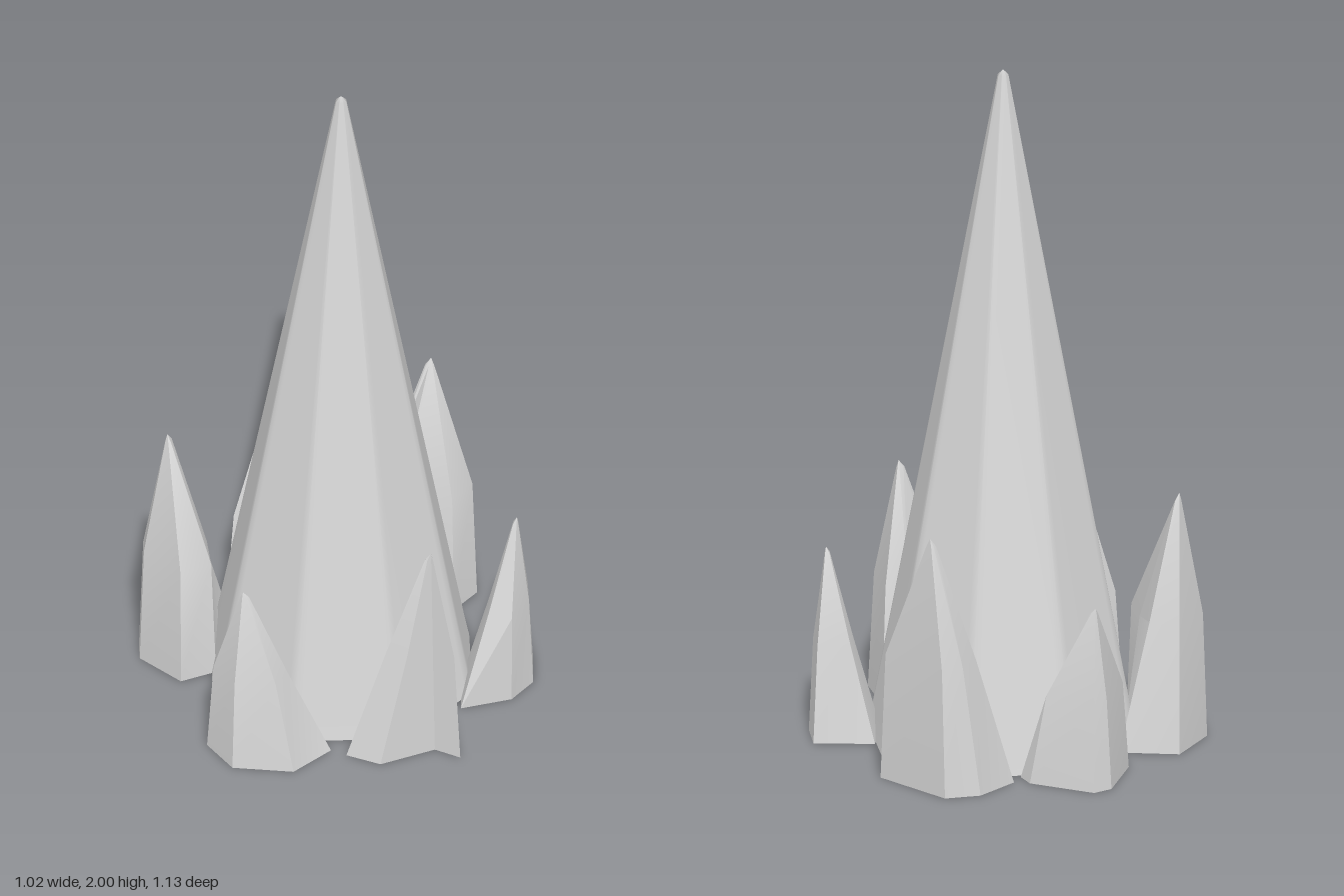
import * as THREE from 'three';
import { mergeVertices, toCreasedNormals } from 'three/addons/utils/BufferGeometryUtils.js';

// Open-bottomed shell from stacked rings of [x, y, z] points, closed at the tip
function loft(rings, tip) {
  const n = rings[0].length, pos = [];
  const tri = (a, b, c) => pos.push(...a, ...b, ...c);
  rings.forEach((lo, r) => {
    const hi = rings[r + 1];
    for (let i = 0; i < n; i++) {
      const j = (i + 1) % n;
      if (hi) {
        tri(lo[i], hi[i], lo[j]);
        tri(lo[j], hi[i], hi[j]);
      } else tri(lo[i], tip, lo[j]);
    }
  });
  const geo = new THREE.BufferGeometry();
  geo.setAttribute('position', new THREE.Float32BufferAttribute(pos, 3));
  return geo;
}

// Crystal shard from corners [x, z, lean]; lean is how far a corner has moved to the tip at half height
function shard(corners, tip) {
  const [tx, ty, tz] = tip;
  const outline = corners.map(([x, z]) => new THREE.Vector2(x, z));
  const ordered = THREE.ShapeUtils.area(outline) > 0 ? corners : corners.slice().reverse();
  const section = (height, leanAt) => ordered.map(([x, z, lean]) => {
    const t = leanAt(lean);
    return [x + (tx - x) * t, ty * height, z + (tz - z) * t];
  });
  const geo = loft([section(0, () => 0), section(0.5, lean => lean), section(0.97, () => 0.93)], tip);
  return toCreasedNormals(geo, 0.5);
}

// Tall eight-sided spire with softly rounded edges and a blunted tip
function spire() {
  const cz = 0.012;
  const ring = (r, y) => {
    const points = [];
    for (let i = 0; i < 8; i++) {
      const a = i * Math.PI / 4;
      for (const [da, k] of [[-0.06, 0.977], [0, 0.992], [0.06, 0.977]]) {
        points.push([r * k * Math.cos(a + da), y, cz + r * k * Math.sin(a + da)]);
      }
    }
    return points;
  };
  const geo = mergeVertices(loft([ring(0.4, 0), ring(0.387, 0.06), ring(0.016, 1.985)], [0, 2, cz]));
  geo.computeVertexNormals();
  return geo;
}

export function createModel() {
  const group = new THREE.Group();
  const crystal = new THREE.MeshStandardMaterial({ color: 0xd6d6d6, side: THREE.DoubleSide });
  crystal.name = 'pale grey crystal';
  const add = (name, geo) => {
    const mesh = new THREE.Mesh(geo, crystal);
    mesh.name = name;
    group.add(mesh);
  };

  add('spire', spire());

  // Six shards around the foot
  add('frontShard', shard(
    [[-0.17, 0.42, 0.46], [-0.1, 0.5, 0.52], [0.07, 0.5, 0.5], [0.12, 0.565, 0.2],
      [0.17, 0.4, 0.2], [0.11, 0.33, 0.3], [-0.1, 0.36, 0.45]],
    [0.06, 0.69, 0.495]));
  add('frontLeftShard', shard(
    [[0.36, 0.12, 0.5], [0.51, 0.21, 0.32], [0.46, 0.32, 0.25], [0.37, 0.37, 0.04],
      [0.22, 0.35, 0.5], [0.28, 0.22, 0.5]],
    [0.43, 0.56, 0.275]));
  add('frontRightShard', shard(
    [[-0.34, 0.12, 0.45], [-0.51, 0.21, 0.18], [-0.49, 0.34, 0.2], [-0.34, 0.43, 0.35],
      [-0.2, 0.38, 0.5], [-0.27, 0.24, 0.5]],
    [-0.43, 0.56, 0.28]));
  add('backLeftShard', shard(
    [[0.33, -0.42, 0.35], [0.43, -0.39, 0.2], [0.495, -0.14, 0.1], [0.4, -0.09, 0.08],
      [0.27, -0.2, 0.1], [0.19, -0.3, 0.4], [0.19, -0.37, 0.45]],
    [0.42, 0.75, -0.29]));
  add('backRightShard', shard(
    [[-0.34, -0.4, 0.3], [-0.2, -0.3, 0.5], [-0.27, -0.2, 0.3], [-0.34, -0.1, 0.1],
      [-0.45, -0.1, 0.02], [-0.51, -0.25, 0.15], [-0.49, -0.3, 0.15]],
    [-0.41, 0.74, -0.28]));
  add('backShard', shard(
    [[-0.16, -0.42, 0.18], [-0.02, -0.56, 0.3], [0.04, -0.565, 0.3], [0.155, -0.4, 0.25],
      [0.15, -0.34, 0.4], [-0.14, -0.34, 0.3]],
    [0, 0.53, -0.505]));

  return group;
}
